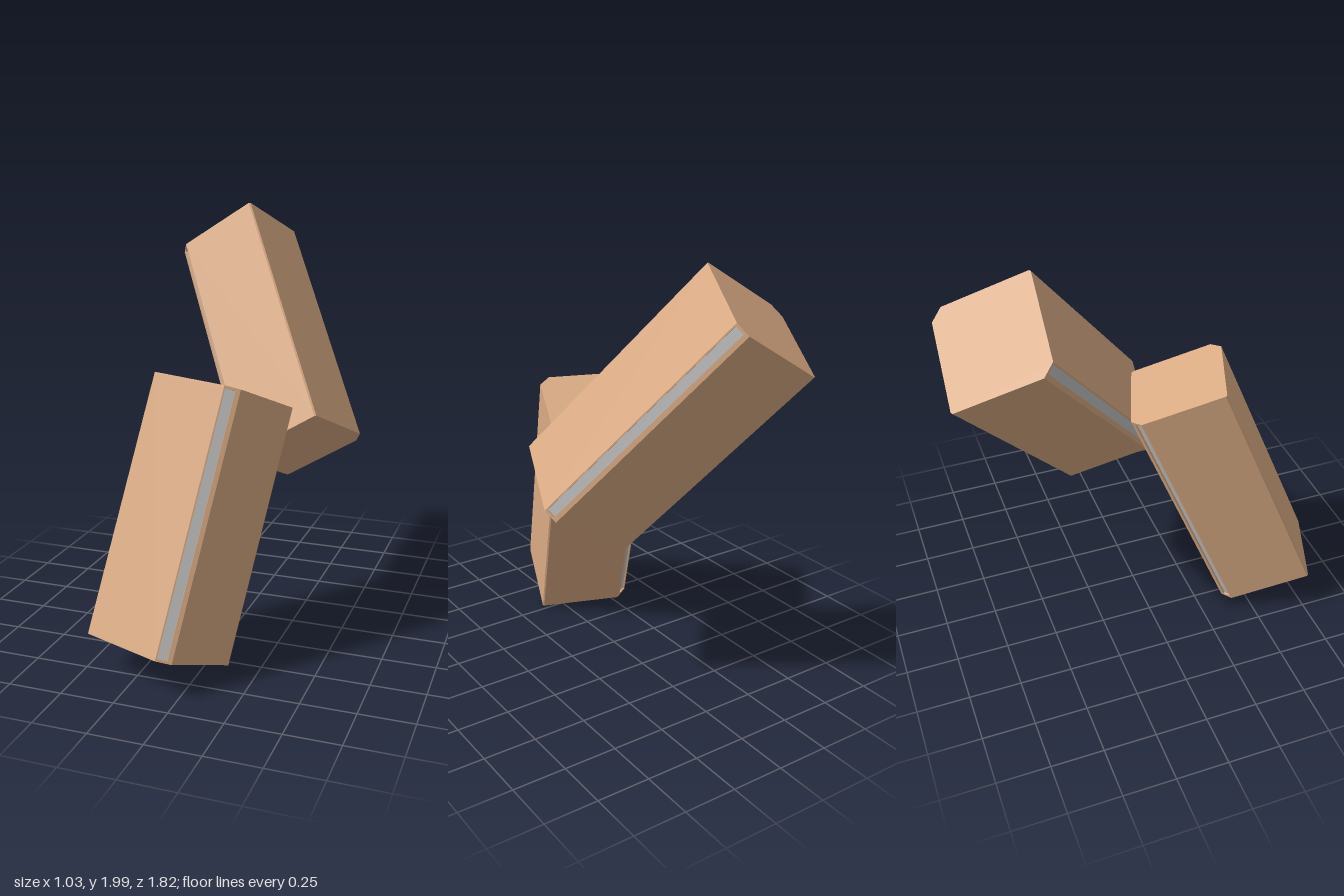
import * as THREE from 'three';

const SIDE = 0.467, CUT = 0.052, LENGTH = 1.207, CAP = 0.012, EASE = 0.007;

// Outline from corner points, wound counter-clockwise
function outline(points) {
  return new THREE.Shape(points.map(([x, y]) => new THREE.Vector2(x, y)));
}

// Point on the cut corner: t runs along the cut, depth goes inward
function onCut(t, depth) {
  const k = depth / Math.SQRT2;
  return [SIDE - CUT + t * CUT - k, t * CUT + k];
}
const swap = ([x, y]) => [y, x];

function extrude(points, start, length, material, name) {
  const geometry = new THREE.ExtrudeGeometry(outline(points), { depth: length, bevelEnabled: false });
  geometry.translate(0, 0, start);
  const mesh = new THREE.Mesh(geometry, material);
  mesh.name = name;
  return mesh;
}

function makeBlock(name, corner, u, v, wood, metal) {
  const group = new THREE.Group();
  group.name = name;

  // Square section with two cut corners; the body adds a groove along each cut
  const T0 = 0.09, T1 = 0.7, DEPTH = 0.014;
  const section = (groove) => {
    const cut = [onCut(0, 0), ...groove, onCut(1, 0)];
    return [
      [0, EASE], [EASE, 0], ...cut,
      [SIDE, SIDE - EASE], [SIDE - EASE, SIDE],
      ...cut.map(swap).reverse(),
    ];
  };
  const groove = [onCut(T0, 0), onCut(T0, DEPTH), onCut(T1, DEPTH), onCut(T1, 0)];
  group.add(extrude(section(groove), CAP, LENGTH - 2 * CAP, wood, 'body'));
  group.add(extrude(section([]), 0, CAP, wood, 'firstEndPlate'));
  group.add(extrude(section([]), LENGTH - CAP, CAP, wood, 'secondEndPlate'));

  // Metal inlay in each groove
  const inlay = [onCut(T0, DEPTH), onCut(T0, DEPTH - 0.005), onCut(T1, DEPTH - 0.005), onCut(T1, DEPTH)];
  group.add(extrude(inlay, CAP, LENGTH - 2 * CAP, metal, 'inlayStrip'));
  group.add(extrude(inlay.map(swap), CAP, LENGTH - 2 * CAP, metal, 'oppositeInlayStrip'));

  // Stand the block on its tilted axes
  const x = new THREE.Vector3(...u).normalize();
  const z = x.clone().cross(new THREE.Vector3(...v)).normalize();
  const y = z.clone().cross(x);
  group.quaternion.setFromRotationMatrix(new THREE.Matrix4().makeBasis(x, y, z));
  group.position.set(...corner);
  return group;
}

export function createModel() {
  const wood = new THREE.MeshStandardMaterial({ color: 0xdaab84 });
  wood.name = 'warm tan';
  const metal = new THREE.MeshStandardMaterial({ color: 0xc4c4c4 });
  metal.name = 'light grey';

  const model = new THREE.Group();
  model.name = 'jointedBlocks';
  model.add(makeBlock('lowerBlock', [-0.48, 0.19, 0.775], [0.94, 0, 0.342], [0.291, -0.388, -0.874], wood, metal));
  model.add(makeBlock('upperBlock', [-0.14, 2.0, -0.485], [-0.846, -0.531, -0.048], [0.329, -0.402, -0.853], wood, metal));
  return model;
}
